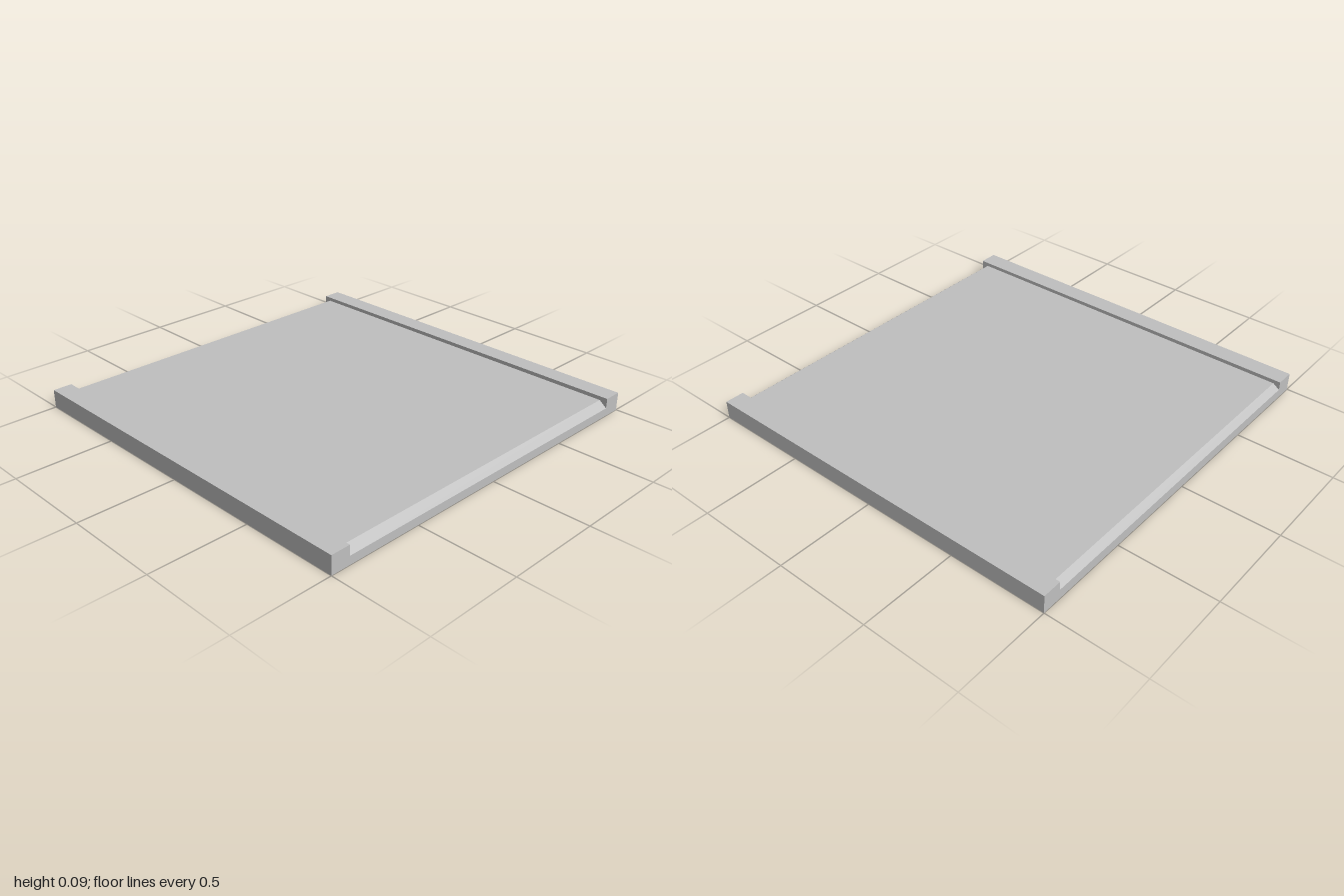
import * as THREE from 'three';

export function createModel() {
  const model = new THREE.Group();
  model.name = 'railedTray';
  const grey = new THREE.MeshStandardMaterial({ color: 0xc0c0c0 });
  grey.name = 'plain grey';

  const height = 0.095, railWidth = 0.1, innerWidth = 2 - 2 * railWidth;

  // Flat panel with chamfered front and back edges: (z, y) profile swept along x
  const profile = new THREE.Shape([
    [-1, 0], [1, 0], [1, 0.043], [0.96, 0.075], [-0.965, 0.075], [-1, 0.05],
  ].map(([z, y]) => new THREE.Vector2(z, y)));
  const panelGeometry = new THREE.ExtrudeGeometry(profile, { depth: innerWidth, bevelEnabled: false });
  panelGeometry.translate(0, 0, -innerWidth / 2).rotateY(-Math.PI / 2);
  const panel = new THREE.Mesh(panelGeometry, grey);
  panel.name = 'panel';
  model.add(panel);

  // Raised rails along both sides
  for (const side of [-1, 1]) {
    const rail = new THREE.Mesh(new THREE.BoxGeometry(railWidth, height, 2), grey);
    rail.position.set(side * (1 - railWidth / 2), height / 2, 0);
    rail.name = side > 0 ? 'leftRail' : 'rightRail';
    model.add(rail);
  }
  return model;
}
